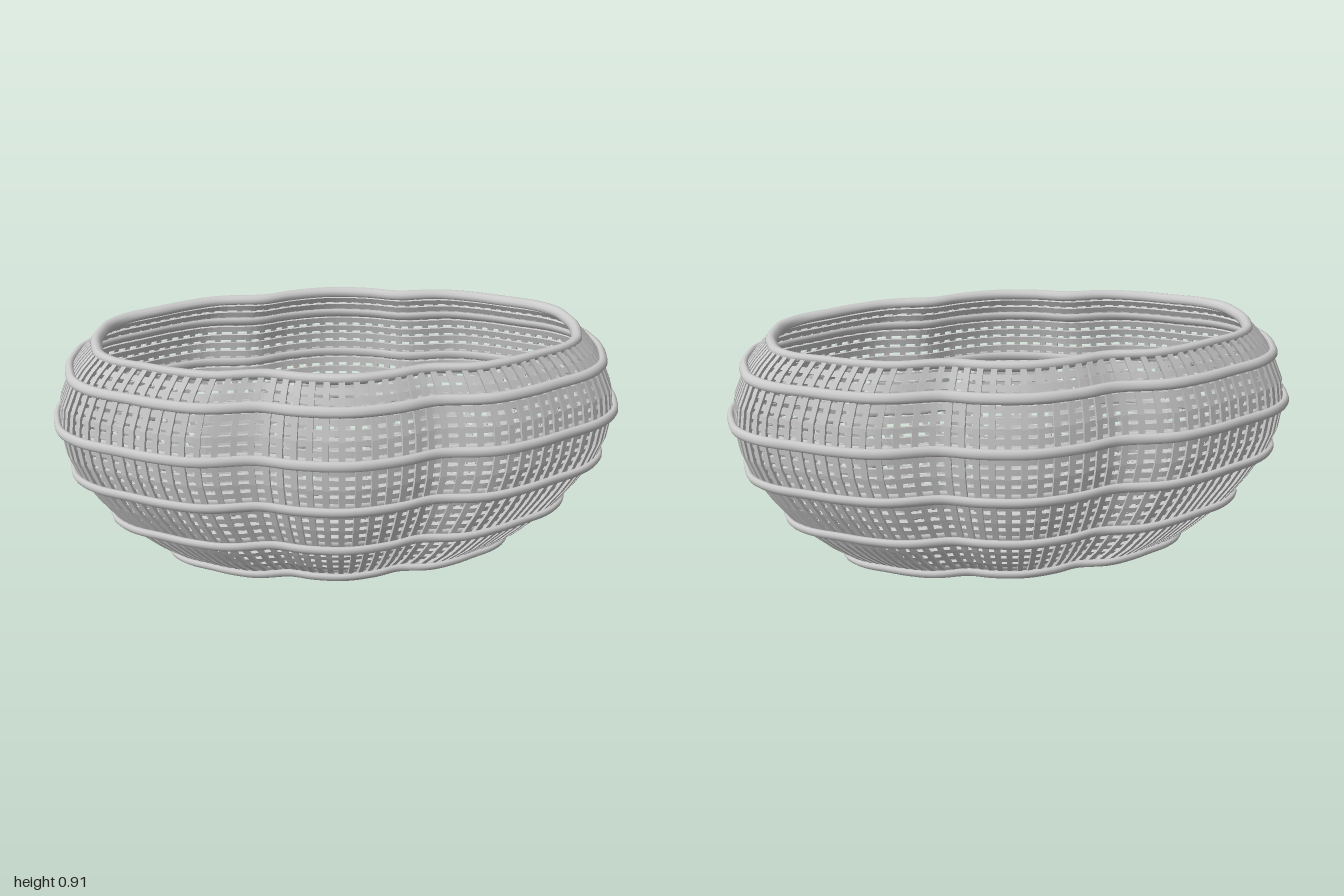
import * as THREE from 'three';
import { mergeGeometries } from 'three/addons/utils/BufferGeometryUtils.js';

const STAKES = 112;
const DEPTH = 0.48; // half depth of the plan relative to its half width

// Lobed plan: radius factor at every 10 degrees of one quarter
const LOBES = [1, 1.005, 1.025, 1.025, 1.0, 1.0, 0.99, 0.91, 0.965, 1];
// Wall profile: [height, plan scale]
const PROFILE = [[0, 0.345], [0.07, 0.6], [0.14, 0.7], [0.2, 0.765], [0.26, 0.82], [0.35, 0.885], [0.45, 0.943],
  [0.53, 0.97], [0.62, 0.98], [0.71, 0.965], [0.8, 0.925], [0.86, 0.88], [0.9, 0.84], [0.95, 0.78]];

function lobe(t) {
  const quarter = Math.PI / 2;
  let a = ((t % Math.PI) + Math.PI) % Math.PI;
  if (a > quarter) a = Math.PI - a;
  const f = (a / quarter) * 9, i = Math.min(8, Math.floor(f)), u = f - i;
  const k = (n) => LOBES[n < 0 ? -n : n > 9 ? 18 - n : n];
  const [p0, p1, p2, p3] = [k(i - 1), k(i), k(i + 1), k(i + 2)];
  return p1 + 0.5 * u * (p2 - p0 + u * (2 * p0 - 5 * p1 + 4 * p2 - p3 + u * (3 * (p1 - p2) + p3 - p0)));
}

function scaleAt(y) {
  let i = 0;
  while (i < PROFILE.length - 2 && y > PROFILE[i + 1][0]) i++;
  const [y0, s0] = PROFILE[i], [y1, s1] = PROFILE[i + 1];
  return s0 + ((s1 - s0) * (y - y0)) / (y1 - y0);
}

function wall(t, y, s = scaleAt(y)) {
  const r = lobe(t) * s;
  return new THREE.Vector3(r * Math.cos(t), y, DEPTH * r * Math.sin(t));
}

// Point on the wall with its directions: along the ring, up the wall, outward
function frame(t, y) {
  const along = wall(t + 0.02, y).sub(wall(t - 0.02, y)).normalize();
  const up = wall(t, y + 0.015).sub(wall(t, y - 0.015)).normalize();
  const out = up.clone().cross(along).normalize();
  return { p: wall(t, y), along, up, out };
}

// Skin a row of closed cross-sections
function loft(rows, closed) {
  const n = rows[0].length, m = rows.length, index = [];
  for (let i = 0; i < (closed ? m : m - 1); i++) {
    for (let j = 0; j < n; j++) {
      const k = (i + 1) % m, l = (j + 1) % n;
      const a = i * n + j, b = i * n + l, c = k * n + j, d = k * n + l;
      index.push(a, b, c, b, d, c);
    }
  }
  const g = new THREE.BufferGeometry();
  g.setAttribute('position', new THREE.Float32BufferAttribute(rows.flat().flatMap((v) => v.toArray()), 3));
  g.setIndex(index);
  g.computeVertexNormals();
  return g;
}

// Cross-section with half sizes a and b along the two given axes
function section(center, axisA, a, axisB, b, sides) {
  const grow = sides === 4 ? Math.SQRT2 : 1;
  return Array.from({ length: sides }, (_, j) => {
    const w = ((j + 0.5) / sides) * Math.PI * 2;
    return center.clone().addScaledVector(axisA, a * grow * Math.cos(w)).addScaledVector(axisB, b * grow * Math.sin(w));
  });
}

// Ring following the lobed wall at one height
function hoop(y, offset, halfThick, halfHigh, sides, segments) {
  const rows = [];
  for (let i = 0; i < segments; i++) {
    const f = frame((i / segments) * Math.PI * 2, y);
    rows.push(section(f.p.addScaledVector(f.out, offset), f.out, halfThick, f.up, halfHigh, sides));
  }
  return loft(rows, true);
}

// Upright rod from the floor to the rim
function stake(t) {
  const rows = [];
  for (const y of [0.005, 0.035, 0.07, 0.1, 0.14, 0.2, 0.26, 0.35, 0.45, 0.53, 0.62, 0.71, 0.8, 0.85, 0.895]) {
    const f = frame(t, y);
    const spread = Math.hypot(Math.sin(t), DEPTH * Math.cos(t));
    const half = (0.005 + 0.006 * spread) * Math.sqrt(scaleAt(y));
    rows.push(section(f.p.addScaledVector(f.out, -0.008), f.along, half, f.out, 0.007, 4));
  }
  return loft(rows, false);
}

export function createModel() {
  const group = new THREE.Group();
  const smooth = new THREE.MeshStandardMaterial({ color: 0xcccccc });
  const flat = new THREE.MeshStandardMaterial({ color: 0xcccccc, flatShading: true, side: THREE.DoubleSide });
  const add = (name, geometry, material) => {
    const mesh = new THREE.Mesh(geometry, material);
    mesh.name = name;
    group.add(mesh);
  };

  // Upright stakes
  const stakes = [];
  for (let i = 0; i < STAKES; i++) stakes.push(stake(((i + 0.5) / STAKES) * Math.PI * 2));
  add('stakes', mergeGeometries(stakes), flat);

  // Thick outer bands, each backed by a hoop inside the stakes
  const bandHeights = [0.085, 0.258, 0.445, 0.628, 0.807];
  bandHeights.forEach((y, i) => {
    add(`outerBand${i + 1}`, hoop(y, 0.006, 0.013, 0.019, 10, 180), smooth);
    add(`innerBand${i + 1}`, hoop(y, -0.022, 0.009, 0.017, 8, 180), smooth);
  });

  // Thin woven strands between the bands
  const strands = [hoop(0.03, -0.016, 0.006, 0.009, 4, STAKES), hoop(0.055, -0.016, 0.006, 0.009, 4, STAKES)];
  const levels = [...bandHeights, 0.9];
  for (let b = 0; b < levels.length - 1; b++) {
    const count = b === levels.length - 2 ? 3 : 5;
    for (let k = 1; k < count; k++) {
      const y = levels[b] + ((levels[b + 1] - levels[b]) * k) / count;
      strands.push(hoop(y, -0.016, 0.006, 0.011, 4, STAKES * 2));
    }
  }
  add('wovenStrands', mergeGeometries(strands), flat);

  // Rim closing the top of the stakes
  add('rim', hoop(0.904, -0.016, 0.02, 0.018, 10, 180), smooth);

  // Flat floor with the same lobed outline
  const outline = Array.from({ length: 120 }, (_, i) => {
    const p = wall((i / 120) * Math.PI * 2, 0, 0.37);
    return new THREE.Vector2(p.x, p.z);
  });
  const floor = new THREE.ExtrudeGeometry(new THREE.Shape(outline), { depth: 0.01, bevelEnabled: false });
  floor.rotateX(Math.PI / 2).translate(0, 0.012, 0);
  add('floor', floor, smooth);

  // Stand exactly on the ground
  const low = new THREE.Box3().setFromObject(group).min.y;
  group.children.forEach((m) => m.geometry.translate(0, -low, 0));
  return group;
}
